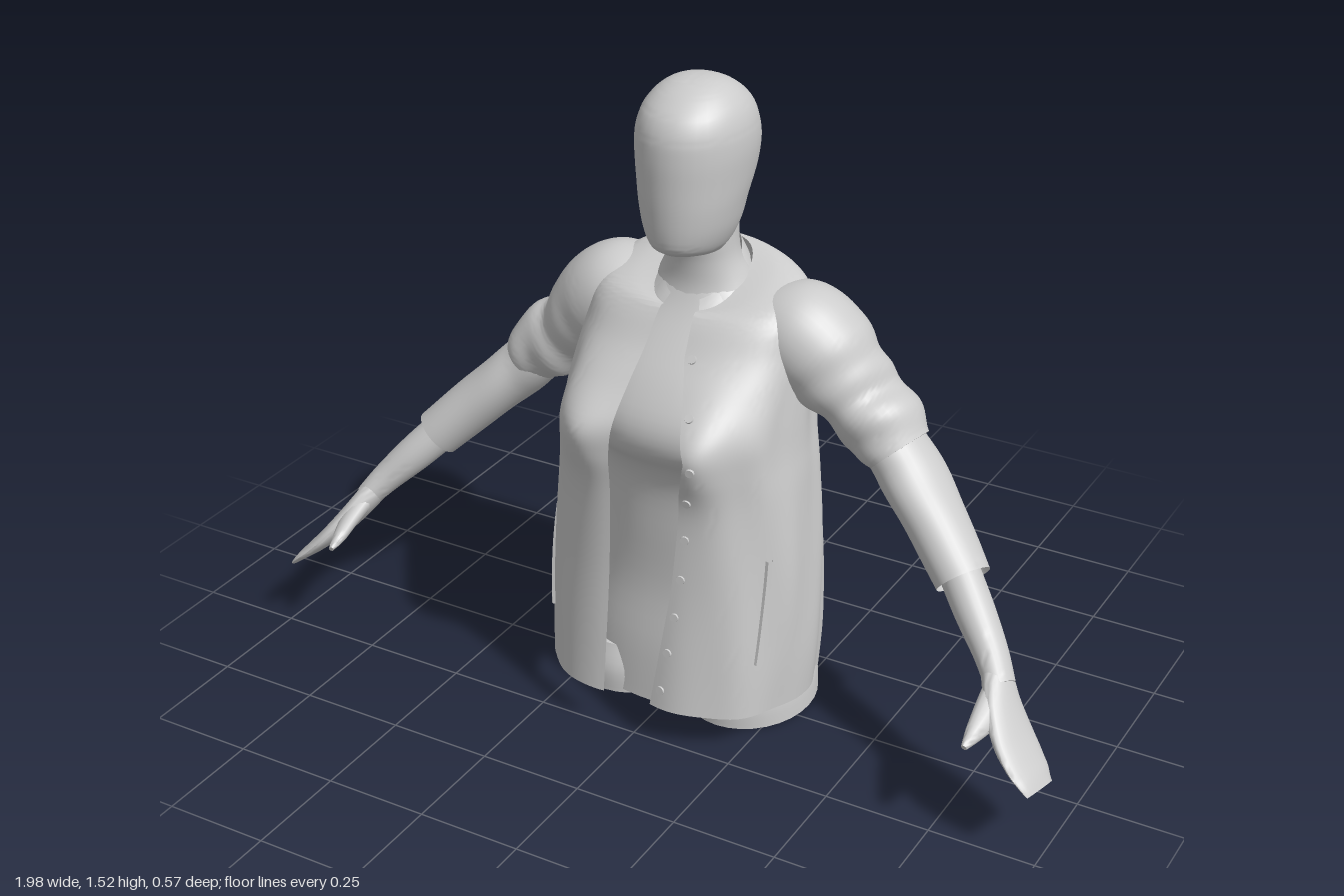
import * as THREE from 'three';
import { toCreasedNormals } from 'three/addons/utils/BufferGeometryUtils.js';

const V = (x, y, z) => new THREE.Vector3(x, y, z);
const skin = new THREE.MeshStandardMaterial({ color: 0xcccccc });
const cloth = new THREE.MeshStandardMaterial({ color: 0xcccccc, side: THREE.DoubleSide });
const gauss = (d, w) => Math.exp(-(d * d) / (w * w));
const spow = (s, p) => Math.sign(s) * Math.pow(Math.abs(s), p);
const clamp01 = x => Math.min(1, Math.max(0, x));

// Smooth interpolation of rows of numbers, t in 0..1
function sample(rows, t) {
  const f = clamp01(t) * (rows.length - 1);
  const i = Math.min(Math.floor(f), rows.length - 2), k = f - i;
  const [a, b, c, d] = [i - 1, i, i + 1, i + 2].map(n => rows[Math.min(Math.max(n, 0), rows.length - 1)]);
  return b.map((_, n) => 0.5 * (2 * b[n] + (c[n] - a[n]) * k + (2 * a[n] - 5 * b[n] + 4 * c[n] - d[n]) * k * k
    + (3 * b[n] - a[n] - 3 * c[n] + d[n]) * k * k * k));
}

// Piecewise linear table lookup
function lookup(table, y) {
  for (let i = 1; i < table.length; i++) {
    const [y0, a] = table[i - 1], [y1, b] = table[i];
    if (y <= y1) return a + (b - a) * Math.max(0, (y - y0) / (y1 - y0));
  }
  return table[table.length - 1][1];
}

// Skin over a grid of points fn(u, v), optionally capped at both ends
function shell(name, fn, nu, nv, mat, cap = false) {
  const rings = [];
  for (let j = 0; j <= nv; j++) {
    const ring = [];
    for (let i = 0; i <= nu; i++) ring.push(fn(i / nu, j / nv));
    rings.push(ring);
  }
  if (cap) {
    const flat = r => {
      const c = V(0, 0, 0);
      r.slice(1).forEach(p => c.addScaledVector(p, 1 / nu));
      return r.map(() => c);
    };
    rings.unshift(flat(rings[0]));
    rings.push(flat(rings[rings.length - 1]));
  }
  const pos = [], index = [], n = nu + 1;
  rings.forEach(r => r.forEach(p => pos.push(p.x, p.y, p.z)));
  for (let j = 0; j < rings.length - 1; j++) for (let i = 0; i < nu; i++) {
    const a = j * n + i, b = a + 1, c = a + n, d = c + 1;
    index.push(a, b, d, a, d, c);
  }
  const g = new THREE.BufferGeometry();
  g.setAttribute('position', new THREE.Float32BufferAttribute(pos, 3));
  g.setIndex(index);
  const mesh = new THREE.Mesh(toCreasedNormals(g, 0.9), mat);
  mesh.name = name;
  return mesh;
}

// Upright body part; rows are [y, tilt, half width, front z, back z]
function ringPoint(rows, v, th, p = 1) {
  const [y, tilt, a, f, b] = sample(rows, v);
  const z = (f + b) / 2 + (f - b) / 2 * spow(Math.cos(th), p);
  return V(a * spow(Math.sin(th), p), y + tilt * z, z);
}
const upright = (name, rows, nu, nv, p) =>
  shell(name, (u, v) => ringPoint(rows, v, u * Math.PI * 2, p), nu, nv, skin, true);

// Limb along a path; rows are [x, y, z, half width, half thickness]
function limb(name, rows, side, o = {}) {
  const { hint = V(0, 0, 1), nu = 24, nv = 20, mat = skin, cap = true, crease = () => 0 } = o;
  return shell(name, (u, v) => {
    const [x, y, z, w, h] = sample(rows, v);
    const d = V(...sample(rows, v + 0.02)).sub(V(...sample(rows, v - 0.02))).normalize();
    const W = hint.clone().addScaledVector(d, -hint.dot(d)).normalize();
    const N = d.clone().cross(W), th = u * Math.PI * 2 * side, k = 1 + crease(v, th * side);
    const q = V(x, y, z).addScaledVector(W, Math.cos(th) * w * k).addScaledVector(N, Math.sin(th) * h * k);
    q.x *= side;
    return q;
  }, nu, nv, mat, cap);
}

// Jacket profile, open down the front, tilting up to the nape at the top
const jacketRows = [
  [.065, .12, .305, .268, -.272], [.2, .08, .31, .255, -.28], [.4, .03, .305, .238, -.274],
  [.6, 0, .29, .232, -.264], [.7, 0, .278, .235, -.262], [.78, 0, .272, .23, -.262],
  [.86, 0, .268, .172, -.26], [.93, -.05, .264, .112, -.252], [.985, -.12, .258, .072, -.237],
  [1.012, -.26, .228, .053, -.222], [1.021, -.37, .168, .043, -.205], [1.018, -.45, .1, .035, -.188]];
const rightEdge = [[.06, .075], [.7, .07], [.95, .045], [1.02, .04]];
const leftEdge = [[.06, .045], [.4, .09], [.65, .11], [.75, .135], [.93, .055], [1.02, .045]];
const P = 0.78;
const heightToV = jacketRows.map((r, i) => [r[0], i / (jacketRows.length - 1)]);
const vAt = y => lookup(heightToV, y);
const thetaAt = (x, v) => Math.asin(Math.min(1, Math.pow(x / sample(jacketRows, v)[2], 1 / P)));

function jacketPoint(v, th, lift = 0) {
  const q = ringPoint(jacketRows, v, th, P), s = Math.sin(th), c = Math.cos(th);
  const back = (1 - c) / 2, fade = clamp01((1.0 - q.y) / .25), hem = clamp01((q.y + .1) / .35);
  let d = lift + fade * back * hem * (.01 * Math.sin(8 * th + 4 * q.y) + .005 * Math.sin(13 * th - 9 * q.y));
  d += fade * s * s * .006 * Math.sin(9 * th + 6 * q.y * Math.sign(s));
  if (c > 0) {
    q.z += .04 * gauss(Math.abs(q.x) - .16, .07) * gauss(q.y - .75, .1);
    q.z -= .02 * gauss(q.x, .07) * fade;
  }
  return q.add(V(s * d, 0, c * d));
}

export function createModel() {
  const model = new THREE.Group();
  const jacket = new THREE.Group(), body = new THREE.Group();
  jacket.name = 'jacket';
  body.name = 'body';
  model.add(body, jacket);

  body.add(
    upright('head', [[1.125, .25, .035, .075, -.06], [1.142, .2, .07, .098, -.11], [1.19, .05, .096, .107, -.158],
      [1.25, 0, .111, .112, -.178], [1.31, 0, .121, .114, -.207], [1.37, 0, .127, .114, -.216],
      [1.42, 0, .124, .108, -.205], [1.46, 0, .111, .088, -.182], [1.49, 0, .088, .052, -.146],
      [1.508, 0, .062, .017, -.112], [1.517, 0, .034, -.014, -.08], [1.52, 0, .004, -.043, -.051]], 32, 55, .97),
    upright('neck', [[.98, -.1, .14, .02, -.19], [1.04, -.15, .108, 0, -.172], [1.1, 0, .086, 0, -.158],
      [1.15, 0, .08, .01, -.157], [1.22, 0, .08, .01, -.162]], 28, 16),
    upright('torso', [[.01, 0, .296, .13, -.23], [.15, 0, .285, .12, -.23], [.3, 0, .25, .1, -.2],
      [.45, 0, .22, .1, -.17], [.57, 0, .222, .105, -.18], [.64, 0, .23, .13, -.19], [.7, 0, .238, .178, -.19],
      [.77, 0, .24, .182, -.19], [.85, 0, .23, .14, -.2], [.93, 0, .2, .075, -.2], [1.0, -.1, .14, .02, -.185],
      [1.05, -.2, .085, -.01, -.16]], 40, 44, .9));

  // Jacket shell, running from one front edge round the back to the other
  jacket.add(shell('jacketBody', (u, v) => {
    const y = sample(jacketRows, v)[0];
    const t0 = thetaAt(lookup(leftEdge, y), v), t1 = Math.PI * 2 - thetaAt(lookup(rightEdge, y), v);
    return jacketPoint(v, t0 + (t1 - t0) * u);
  }, 140, 70, cloth));

  // Stand collar
  jacket.add(shell('collar', (u, t) => {
    const a = .45 + u * (Math.PI * 2 - .9), r = .112 - .02 * t, z = -.076 + r * Math.cos(a);
    return V((r - .008) * Math.sin(a), 1.012 - .45 * z + t * (.01 + .044 * (1 - Math.cos(a)) / 2), z);
  }, 40, 4, cloth));

  // Buttons beside the opening
  for (let i = 0; i < 9; i++) {
    const v = vAt(.13 + i * .1), th = thetaAt(lookup(leftEdge, .13 + i * .1) + .02, v);
    const du = jacketPoint(v, th + .02).sub(jacketPoint(v, th - .02));
    const dv = jacketPoint(v + .01, th).sub(jacketPoint(v - .01, th));
    const n = du.cross(dv).normalize();
    const button = new THREE.Mesh(new THREE.CylinderGeometry(.01, .011, .006, 14), skin);
    button.name = 'button';
    button.quaternion.setFromUnitVectors(V(0, 1, 0), n);
    button.position.copy(jacketPoint(v, th)).addScaledVector(n, .001);
    jacket.add(button);
  }

  for (const side of [1, -1]) {
    // Slanted pocket welt lying on the jacket
    jacket.add(shell('pocketWelt', (u, t) => jacketPoint(vAt(.21 + .26 * t),
      side * (1.0 + .12 * t) + (u - .5) * .07, .007 * Math.min(1, 4 * Math.sin(u * Math.PI))), 6, 24, cloth));

    // Scrunched upper sleeve and turned-up lower sleeve
    jacket.add(limb('upperSleeve', [[.14, .97, -.1, .09, .07], [.22, .948, -.108, .125, .115], [.285, .9, -.117, .13, .118],
      [.335, .85, -.12, .117, .1], [.385, .8, -.122, .106, .087], [.44, .755, -.118, .108, .09],
      [.485, .71, -.11, .088, .07]], side,
      { nu: 40, nv: 60, mat: cloth, crease: (v, th) => clamp01(v * 3 - .8)
        * (.035 * Math.sin(v * 26 + 1.8 * Math.sin(th + 1)) + .03 * Math.sin(3 * th + v * 13)) }));
    jacket.add(limb('lowerSleeve', [[.44, .745, -.115, .08, .068], [.51, .675, -.1, .09, .067], [.6, .59, -.055, .082, .064],
      [.696, .494, 0, .069, .06]], side,
      { nu: 32, nv: 30, mat: cloth, cap: false, crease: (v, th) => (1 - v) * .03 * Math.sin(v * 14 + 2 * th) }));

    // Thigh stump, forearm and mitten hand
    const thigh = upright('thigh', [[0, 0, .152, .13, -.23], [.06, 0, .147, .13, -.23], [.12, 0, .13, .11, -.21]], 32, 8);
    thigh.position.x = side * .152;
    body.add(thigh);
    body.add(
      limb('forearm', [[.65, .54, -.03, .047, .047], [.735, .45, .03, .048, .045], [.8, .38, .075, .043, .037],
        [.84, .33, .11, .041, .03]], side),
      limb('hand', [[.82, .355, .09, .039, .031], [.86, .295, .135, .062, .027], [.9, .245, .166, .073, .023],
        [.935, .21, .187, .07, .018], [.962, .186, .2, .063, .013], [.982, .166, .206, .053, .008]], side, { nu: 24 }),
      limb('thumb', [[.845, .315, .14, .04, .024], [.842, .295, .195, .032, .02], [.836, .278, .24, .02, .015],
        [.832, .266, .278, .007, .006]], side, { hint: V(1, -1, 0), nu: 14, nv: 12 }));
  }
  return model;
}
